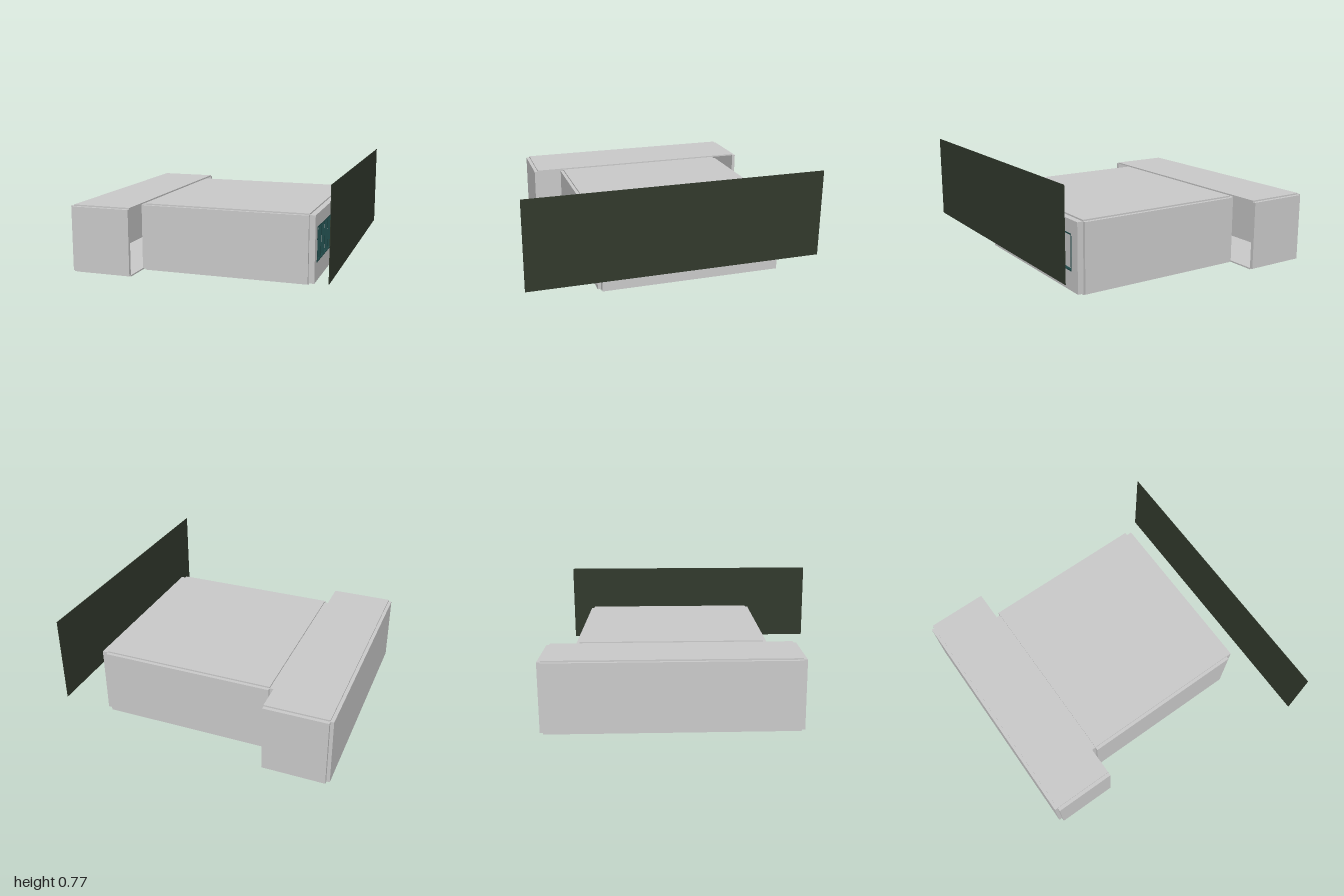
import * as THREE from 'three';

const grey = new THREE.MeshStandardMaterial({ color: 0xcccccc });
const frameMat = new THREE.MeshStandardMaterial({ color: 0x1f4a4a });
const boardMat = new THREE.MeshStandardMaterial({ color: 0x323a2d });

// Box given by its extents on each axis
function slab(parent, name, [x0, x1], [y0, y1], [z0, z1], material = grey) {
  const mesh = new THREE.Mesh(new THREE.BoxGeometry(x1 - x0, y1 - y0, z1 - z0), material);
  mesh.position.set((x0 + x1) / 2, (y0 + y1) / 2, (z0 + z1) / 2);
  mesh.name = name;
  parent.add(mesh);
  return mesh;
}

function group(parent, name) {
  const g = new THREE.Group();
  g.name = name;
  parent.add(g);
  return g;
}

const FLOOR = [0, 0.01], WALL = [0.01, 0.475], ROOF = [0.475, 0.485];
const SILL = 0.14, HEAD = 0.385;
const WINDOWS = [[-0.065, 0.405], [-0.705, -0.235]];

// Outer room wall with two window openings, outlined in (-z, y) and extruded along x
function windowWall(parent, [x0, x1], [z0, z1]) {
  const rect = (C, a0, a1, b0, b1) => new C([[-a1, b0], [-a0, b0], [-a0, b1], [-a1, b1]]
    .map(([a, b]) => new THREE.Vector2(a, b)));
  const shape = rect(THREE.Shape, z0, z1, WALL[0], WALL[1]);
  for (const [a, b] of WINDOWS) shape.holes.push(rect(THREE.Path, a, b, SILL, HEAD));
  const geometry = new THREE.ExtrudeGeometry(shape, { depth: x1 - x0, bevelEnabled: false });
  geometry.rotateY(Math.PI / 2);
  const mesh = new THREE.Mesh(geometry, grey);
  mesh.position.x = x0;
  mesh.name = 'windowWall';
  parent.add(mesh);
}

// Window with a thin frame, three mullions and a blank pane
function addWindow(parent, [x0, x1], [z0, z1]) {
  const w = group(parent, 'window');
  const t = 0.008, step = (z1 - z0 - t) / 4;
  for (let i = 0; i <= 4; i++) {
    const z = z0 + i * step;
    slab(w, i % 4 ? 'mullion' : 'jamb', [x0, x1], [SILL, HEAD], [z, z + t], frameMat);
  }
  slab(w, 'sill', [x0, x1], [SILL, SILL + t], [z0, z1], frameMat);
  slab(w, 'head', [x0, x1], [HEAD - t, HEAD], [z0, z1], frameMat);
  slab(w, 'pane', [x0 + 0.012, x0 + 0.02], [SILL, HEAD], [z0, z1]);
}

export function createModel() {
  const model = new THREE.Group();
  model.name = 'classroomBlock';

  // Main room: slabs that stop short of each other at the corners
  const room = group(model, 'room');
  const rx = [-0.47, 0.71], rz = [-0.78, 0.47];
  slab(room, 'roomFloor', rx, FLOOR, rz);
  slab(room, 'roomRoof', rx, ROOF, rz);
  slab(room, 'frontWall', rx, WALL, [0.47, 0.493]);
  slab(room, 'backWall', rx, WALL, [-0.803, -0.78]);
  slab(room, 'innerWall', [-0.5, -0.47], WALL, rz);
  windowWall(room, [0.71, 0.75], rz);
  for (const span of WINDOWS) addWindow(room, [0.712, 0.752], span);

  // Corridor along the inner wall, open where it runs past the room
  const corridor = group(model, 'corridor');
  const cx = [-0.925, -0.5], cz = [-0.976, 0.667];
  slab(corridor, 'corridorFloor', cx, FLOOR, cz);
  slab(corridor, 'corridorRoof', cx, ROOF, cz);
  slab(corridor, 'corridorOuterWall', [-0.948, -0.925], WALL, cz);
  slab(corridor, 'corridorFrontWall', cx, WALL, [0.667, 0.692]);
  slab(corridor, 'corridorBackWall', cx, WALL, [-1, -0.976]);

  // Free-standing dark backdrop board beyond the windows
  slab(model, 'backdropBoard', [0.944, 0.948], [0.175, 0.767], [-0.976, 1], boardMat);

  return model;
}
